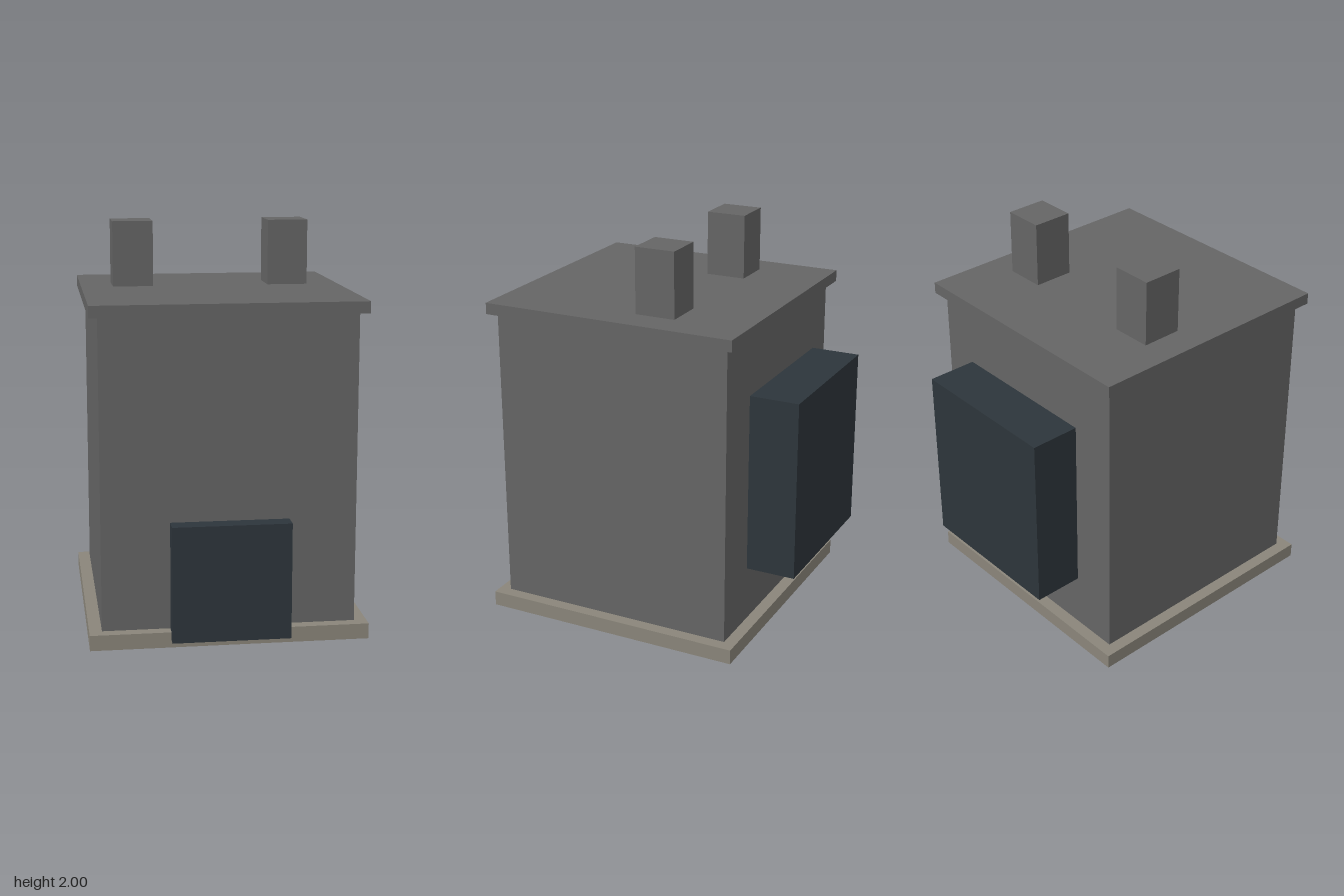
import * as THREE from 'three';

const material = (name, color) => {
  const m = new THREE.MeshStandardMaterial({ color });
  m.name = name;
  return m;
};

export function createModel() {
  const model = new THREE.Group();
  model.name = 'house';
  const wallGrey = material('wall grey', 0x656565);
  const stone = material('warm stone', 0x8a857a);
  const slate = material('dark slate', 0x2d353b);

  // Adds a box spanning the given [min, max] ranges
  function addBox(name, mat, [x0, x1], [y0, y1], [z0, z1]) {
    const mesh = new THREE.Mesh(new THREE.BoxGeometry(x1 - x0, y1 - y0, z1 - z0), mat);
    mesh.position.set((x0 + x1) / 2, (y0 + y1) / 2, (z0 + z1) / 2);
    mesh.name = name;
    model.add(mesh);
  }

  // Plinth, walls and overhanging flat roof
  addBox('base', stone, [-0.685, 0.685], [0, 0.077], [-0.603, 0.767]);
  addBox('walls', wallGrey, [-0.623, 0.623], [0.077, 1.61], [-0.541, 0.709]);
  addBox('roof', wallGrey, [-0.665, 0.665], [1.61, 1.668], [-0.582, 0.748]);

  // Pair of chimneys
  addBox('leftChimney', wallGrey, [0.297, 0.503], [1.668, 2], [-0.208, 0]);
  addBox('rightChimney', wallGrey, [-0.503, -0.297], [1.668, 2], [-0.208, 0]);

  // Door panel and rear box, both standing slightly clear of the walls
  addBox('door', slate, [-0.29, 0.29], [0.037, 0.615], [0.726, 0.815]);
  addBox('rearBox', slate, [-0.405, 0.405], [0.39, 1.31], [-0.815, -0.562]);

  return model;
}
